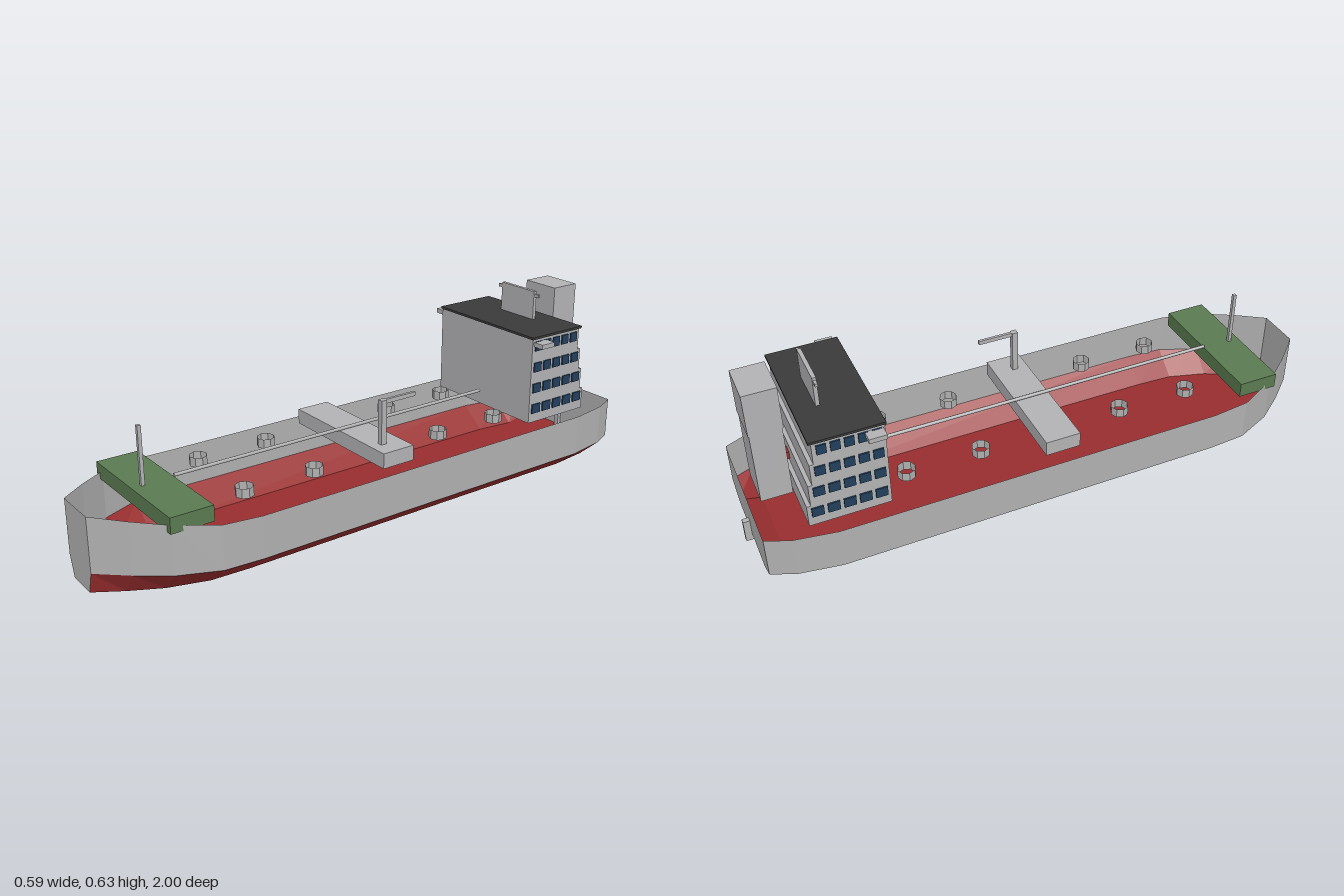
import * as THREE from 'three';

const mat = (name, color, side = THREE.FrontSide) => {
  const m = new THREE.MeshStandardMaterial({ color, side });
  m.name = name;
  return m;
};

// Flat-shaded surface from a list of quads (corners counter-clockwise from outside)
function quadMesh(name, quads, material) {
  const pos = [];
  for (const [a, b, c, d] of quads) pos.push(...a, ...b, ...c, ...a, ...c, ...d);
  const g = new THREE.BufferGeometry();
  g.setAttribute('position', new THREE.Float32BufferAttribute(pos, 3));
  g.computeVertexNormals();
  const mesh = new THREE.Mesh(g, material);
  mesh.name = name;
  return mesh;
}

export function createModel() {
  const ship = new THREE.Group();
  ship.name = 'tankerShip';
  const grey = mat('shipGrey', 0xb2b2b4);
  const hullGrey = mat('hullGrey', 0xb0b0b0, THREE.DoubleSide);
  const red = mat('antifoulingRed', 0x982d2e, THREE.DoubleSide);
  const green = mat('deckGreen', 0x5a7a50);
  const dark = mat('roofDark', 0x3a3a3a);
  const blue = mat('windowBlue', 0x223f5c);

  // Box given by its ranges on each axis
  function box(name, [x0, x1], [y0, y1], [z0, z1], material, parent = ship) {
    const m = new THREE.Mesh(new THREE.BoxGeometry(x1 - x0, y1 - y0, z1 - z0), material);
    m.position.set((x0 + x1) / 2, (y0 + y1) / 2, (z0 + z1) / 2);
    m.name = name;
    parent.add(m);
    return m;
  }

  // Open hull shell: stations of [z, half width, keel height, rail height]
  const chine = 0.072, flat = 0.7, deck = 0.213;
  const stations = [
    [-0.978, 0.238, 0.038, deck], [-0.9, 0.272, 0, deck], [-0.76, 0.295, 0, deck],
    [0.55, 0.295, 0, deck], [0.68, 0.286, 0, 0.219], [0.81, 0.23, 0, 0.234],
    [0.91, 0.155, 0, 0.245], [1, 0.075, 0, 0.255],
  ];
  const section = ([z, w, keel, rail], s) =>
    [[s * w, rail, z], [s * w, chine, z], [s * w * flat, keel, z]];
  const sides = [], bottom = [];
  for (let i = 0; i < stations.length - 1; i++) {
    const [L0, L1] = [section(stations[i], 1), section(stations[i + 1], 1)];
    const [R0, R1] = [section(stations[i], -1), section(stations[i + 1], -1)];
    sides.push([L0[1], L0[0], L1[0], L1[1]], [R0[0], R0[1], R1[1], R1[0]]);
    bottom.push([L0[2], L0[1], L1[1], L1[2]], [R0[1], R0[2], R1[2], R1[1]],
      [R0[2], L0[2], L1[2], R1[2]]);
  }
  const endCap = (st, flip) => {
    const L = section(st, 1), R = section(st, -1);
    const quads = [[R[1], L[1], L[0], R[0]], [R[2], L[2], L[1], R[1]]];
    return flip ? quads.map((q) => q.reverse()) : quads;
  };
  ship.add(quadMesh('hullSides', sides, hullGrey));
  ship.add(quadMesh('hullBottom', bottom, red));
  ship.add(quadMesh('bowPlate', endCap(stations[stations.length - 1], false), hullGrey));
  ship.add(quadMesh('transom', endCap(stations[0], true), hullGrey));
  box('rudder', [-0.009, 0.009], [0.015, 0.095], [-1, -0.965], grey);

  // Foredeck and foremast
  box('foredeck', [-0.242, 0.242], [deck, 0.265], [0.68, 0.822], green);
  box('foremast', [-0.006, 0.006], [0.265, 0.458], [0.779, 0.791], grey);

  // Cargo manifold, crane and centre pipe
  box('manifold', [-0.242, 0.242], [deck, 0.265], [-0.054, 0.067], grey);
  box('cranePost', [0.162, 0.182], [0.265, 0.416], [0.01, 0.03], grey);
  box('craneBoom', [0.167, 0.177], [0.402, 0.416], [-0.11, 0.01], grey);
  const pipe = new THREE.Mesh(new THREE.CylinderGeometry(0.006, 0.006, 1.235, 8), grey);
  pipe.rotation.x = Math.PI / 2;
  pipe.position.set(0, 0.27, 0.0625);
  pipe.name = 'deckPipe';
  ship.add(pipe);

  // Open tank hatches in two rows
  const hatchGeo = new THREE.CylinderGeometry(0.03, 0.03, 0.032, 8, 1, true).toNonIndexed();
  hatchGeo.computeVertexNormals();
  for (const z of [0.52, 0.265, -0.24, -0.493]) {
    for (const x of [-0.142, 0.142]) {
      const hatch = new THREE.Mesh(hatchGeo, hullGrey);
      hatch.position.set(x, 0.229, z);
      hatch.name = 'tankHatch';
      ship.add(hatch);
    }
  }

  // Deckhouse: four storeys stepping in towards the stern, windows on both sides
  const house = new THREE.Group();
  house.name = 'deckhouse';
  ship.add(house);
  const front = -0.574, storey = 0.0762;
  for (let i = 0; i < 4; i++) {
    const y = deck + i * storey, aft = -0.836 + i * 0.013;
    box('storey', [-0.235, 0.235], [y, y + storey], [aft, front], grey, house);
    const pitch = (front - aft - 0.012) / 5;
    for (let k = 0; k < 5; k++) {
      const z = front - 0.011 - k * pitch;
      for (const s of [-1, 1]) {
        box('window', [s * 0.2375 - 0.0025, s * 0.2375 + 0.0025], [y + 0.034, y + 0.067],
          [z - pitch + 0.012, z], blue, house);
      }
    }
  }
  box('roof', [-0.239, 0.239], [0.5178, 0.526], [-0.806, -0.57], dark, house);
  for (const s of [-1, 1]) {
    box('bridgeWing', [s * 0.255 - 0.02, s * 0.255 + 0.02], [0.492, 0.508], [-0.637, -0.58], grey, house);
  }
  box('radarPanel', [-0.081, 0.081], [0.526, 0.628], [-0.735, -0.722], grey, house);
  box('radarBar', [-0.101, 0.101], [0.608, 0.619], [-0.733, -0.724], grey, house);

  // Funnel
  box('funnelBase', [-0.068, 0.068], [deck, 0.47], [-0.94, -0.839], grey);
  box('funnelTop', [-0.071, 0.071], [0.47, 0.62], [-0.943, -0.836], grey);
  box('funnelLink', [-0.016, 0.016], [0.303, 0.33], [-0.84, -0.822], red);

  return ship;
}
